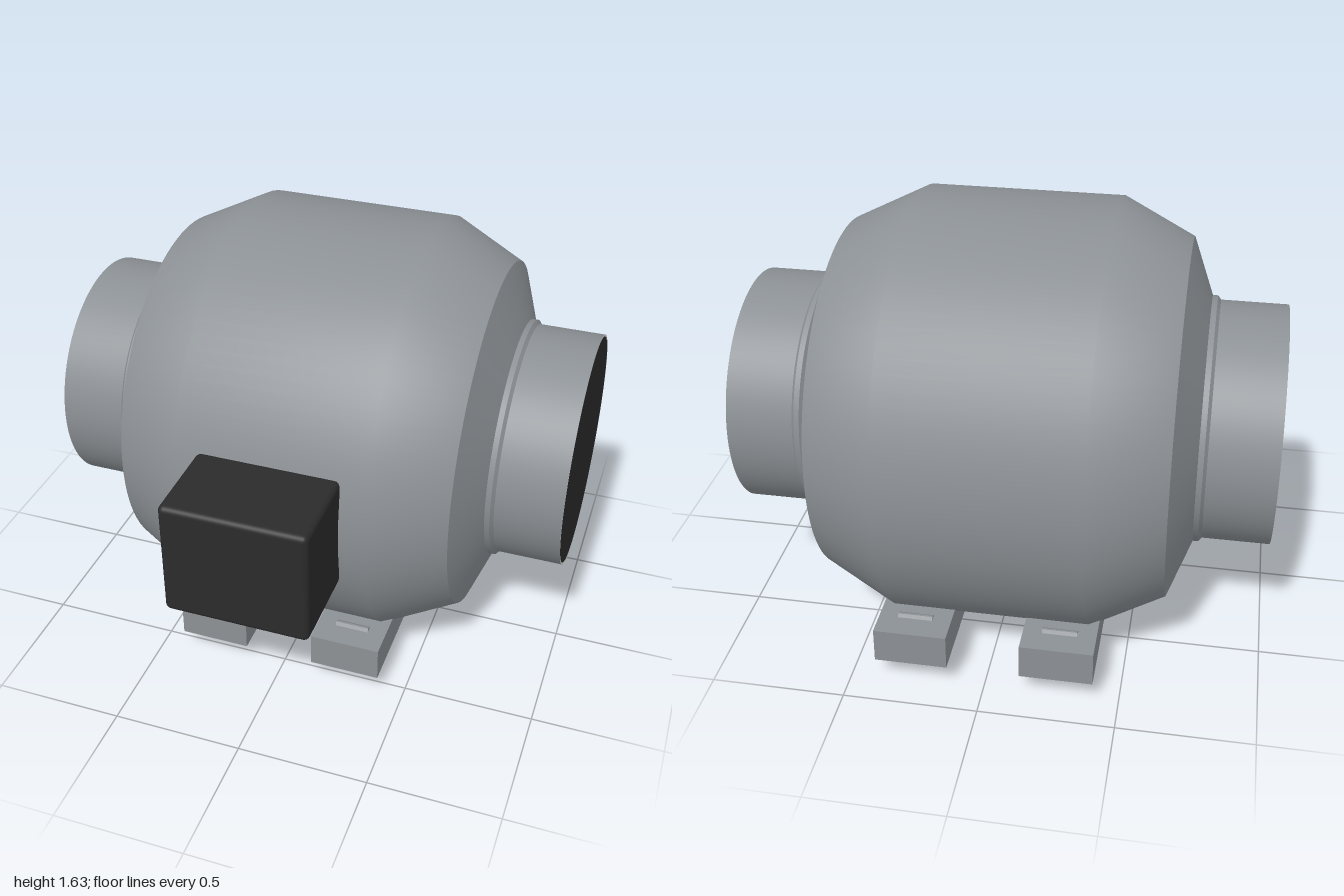
import * as THREE from 'three';
import { RoundedBoxGeometry } from 'three/addons/geometries/RoundedBoxGeometry.js';

const AXIS_Y = 0.82, AXIS_Z = -0.16;

export function createModel() {
  const model = new THREE.Group();
  const material = (name, color, side = THREE.FrontSide) => {
    const m = new THREE.MeshStandardMaterial({ color, side });
    m.name = name;
    return m;
  };
  const grey = material('grey casing', 0x8c9195, THREE.DoubleSide);
  const black = material('black plastic', 0x2b2b2b);
  const pale = material('pale rim', 0xf2f2f2);

  const add = (parent, name, geometry, mat, x = 0, y = 0, z = 0) => {
    const mesh = new THREE.Mesh(geometry, mat);
    mesh.name = name;
    mesh.position.set(x, y, z);
    parent.add(mesh);
    return mesh;
  };
  // Surface of revolution about the fan axis; points are [radius, axial position]
  const revolve = (points) =>
    new THREE.LatheGeometry(points.map(([r, h]) => new THREE.Vector2(r, h)), 96);

  // Fan housing, lying along x
  const housing = new THREE.Group();
  housing.name = 'housing';
  housing.position.set(0, AXIS_Y, AXIS_Z);
  housing.rotation.z = -Math.PI / 2;
  model.add(housing);
  add(housing, 'barrel',
    revolve([[0.68, -0.635], [0.815, -0.365], [0.815, 0.365], [0.68, 0.635]]), grey);

  for (const [side, turn] of [['left', 0], ['right', Math.PI]]) {
    const end = new THREE.Group();
    end.name = side + 'End';
    end.rotation.z = turn;
    housing.add(end);
    // Separate profiles keep the edges between them crisp
    add(end, 'endCone', revolve([[0.68, 0.635], [0.465, 0.718]]), grey);
    add(end, 'collar', revolve([[0.465, 0.718], [0.465, 0.738]]), grey);
    add(end, 'collarBevel', revolve([[0.465, 0.738], [0.45, 0.75]]), grey);
    add(end, 'duct', revolve([[0.45, 0.75], [0.45, 1]]), grey);
    add(end, 'ductRim',
      new THREE.RingGeometry(0.442, 0.45, 96).rotateX(-Math.PI / 2), pale, 0, 0.999);
    add(end, 'ductOpening',
      new THREE.CircleGeometry(0.443, 96).rotateX(-Math.PI / 2), black, 0, 1);
  }

  // Terminal box on the front
  add(model, 'terminalBox', new RoundedBoxGeometry(0.54, 0.455, 0.35, 3, 0.022),
    black, 0, 0.818, 0.797);

  // Mounting feet, front and back
  for (const x of [-0.27, 0.27]) {
    for (const s of [-1, 1]) {
      const foot = new THREE.Group();
      foot.name = 'foot';
      foot.position.set(x, 0, AXIS_Z);
      foot.rotation.y = s > 0 ? 0 : Math.PI;
      model.add(foot);
      add(foot, 'footBlock', new THREE.BoxGeometry(0.27, 0.135, 0.63), grey, 0, 0.1625, 0.415);
      // Small wedge-shaped tab on the foot
      const wedge = new THREE.Shape([[-0.018, 0], [0.018, 0], [0.008, 0.012], [0, 0.012]]
        .map(([a, b]) => new THREE.Vector2(a, b)));
      const tab = new THREE.ExtrudeGeometry(wedge, { depth: 0.13, bevelEnabled: false });
      tab.translate(0, 0, -0.065).rotateY(-Math.PI / 2);
      add(foot, 'footTab', tab, grey, 0, 0.229, 0.622);
    }
  }
  return model;
}
